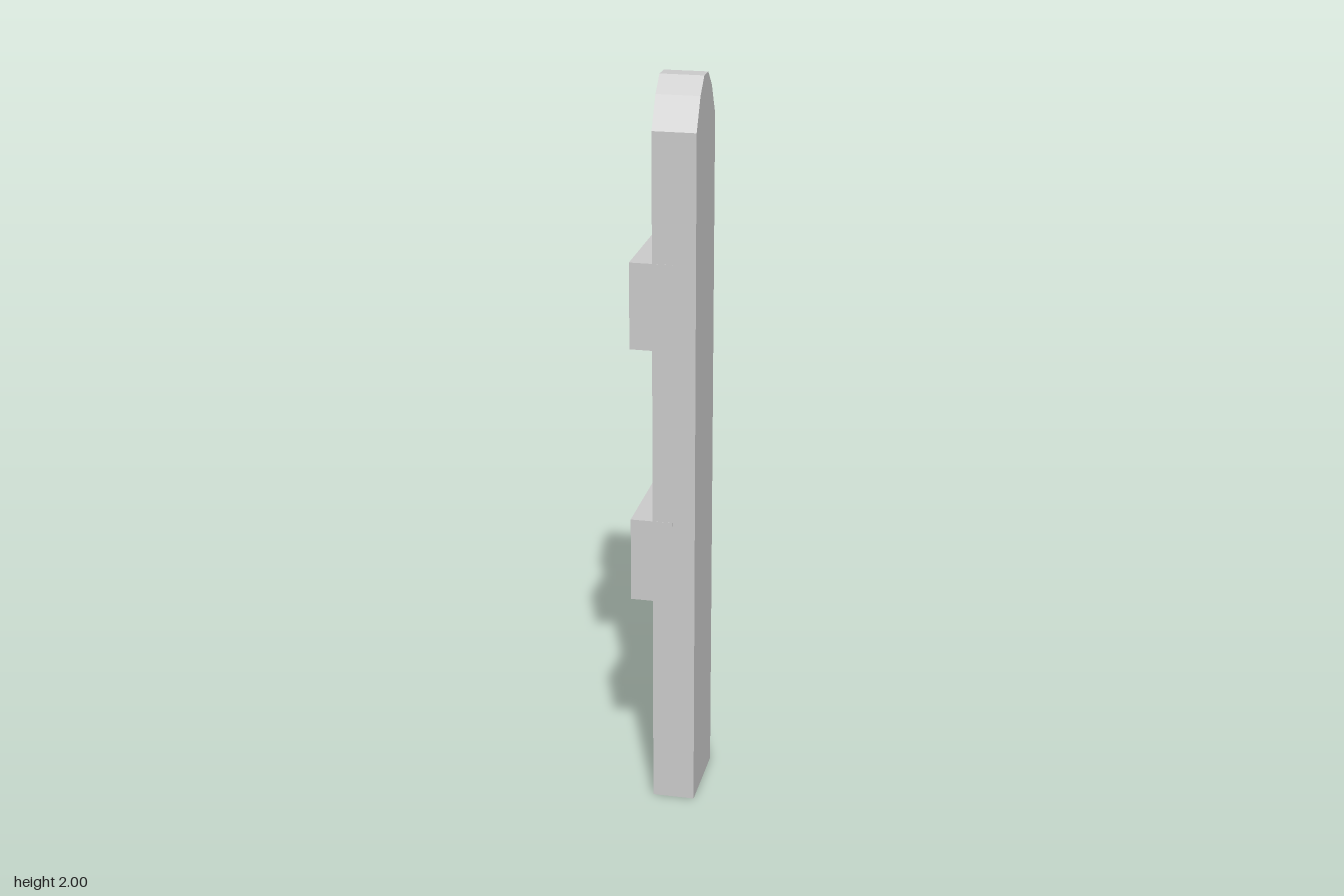
import * as THREE from 'three';

export function createModel() {
  const model = new THREE.Group();
  model.name = 'fencePicket';
  const material = new THREE.MeshStandardMaterial({ color: 0xcccccc, flatShading: true });

  // Upright board with a faceted, rounded tip
  const half = [[0.1165, 0], [0.1165, 1.875], [0.071, 1.958], [0.025, 2]];
  const outline = [...half, ...half.map(([x, y]) => [-x, y]).reverse()];
  const shape = new THREE.Shape(outline.map(([x, y]) => new THREE.Vector2(x, y)));
  const depth = 0.114;
  const boardGeometry = new THREE.ExtrudeGeometry(shape, { depth, bevelEnabled: false });
  boardGeometry.translate(0, 0, -depth / 2);
  const board = new THREE.Mesh(boardGeometry, material);
  board.name = 'board';
  board.position.set(-0.026, 0, 0.0435);
  model.add(board);

  // Two cross rails sunk into the back of the board
  const railGeometry = new THREE.BoxGeometry(0.318, 0.232, 0.114);
  [['lowerRail', 0.71], ['upperRail', 1.418]].forEach(([name, y]) => {
    const rail = new THREE.Mesh(railGeometry, material);
    rail.name = name;
    rail.position.set(0.0156, y, -0.016);
    model.add(rail);
  });

  // The whole piece stands diagonally
  model.rotation.y = Math.PI / 4;
  return model;
}
